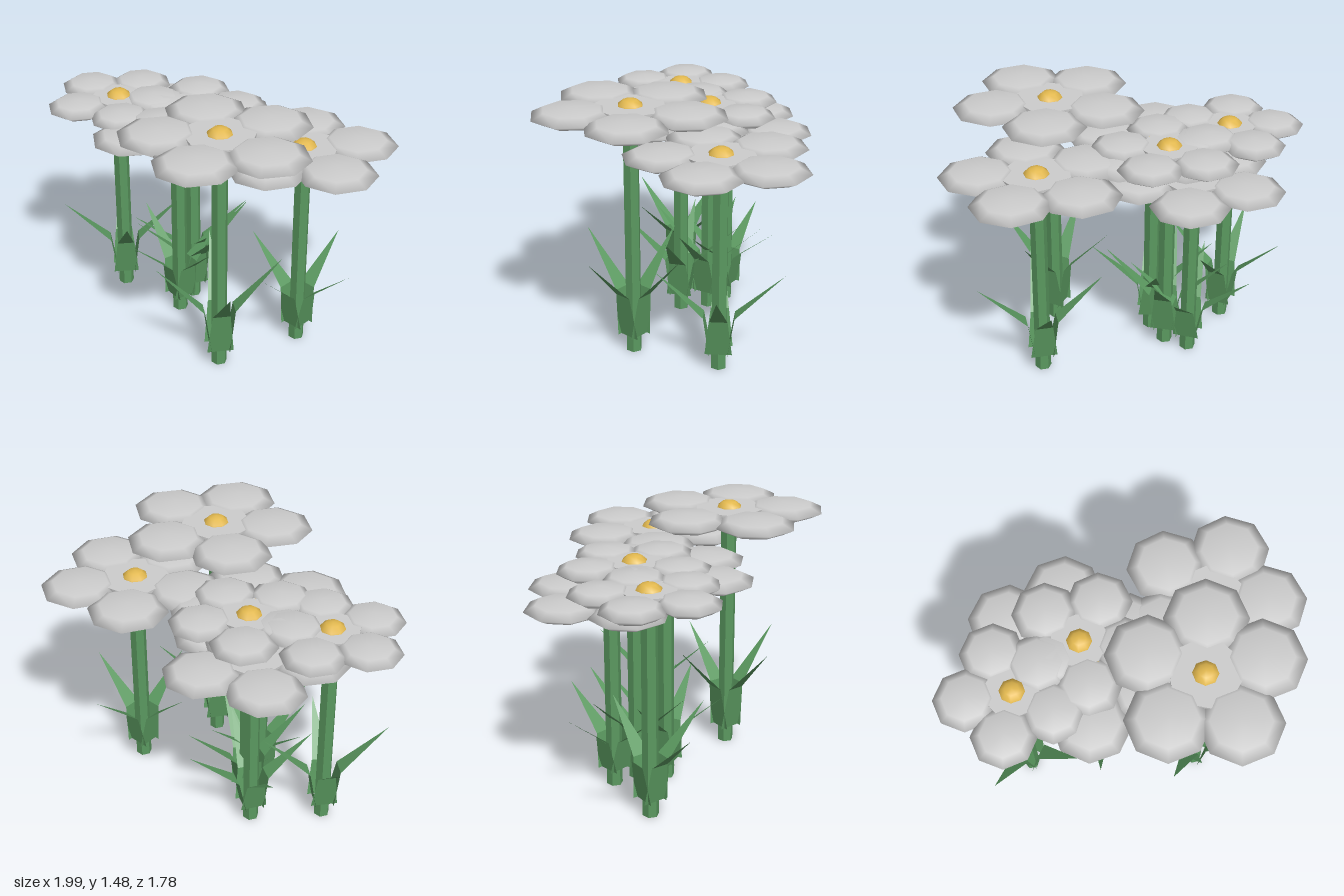
import * as THREE from 'three';

const petalMat = new THREE.MeshStandardMaterial({ color: 0xcccccc });
petalMat.name = 'palePetal';
const centreMat = new THREE.MeshStandardMaterial({ color: 0xe2b84e });
centreMat.name = 'goldenCentre';
const greenMat = new THREE.MeshStandardMaterial({ color: 0x5a985f, side: THREE.DoubleSide });
greenMat.name = 'leafGreen';

const rad = THREE.MathUtils.degToRad;

// x, z, head height, head size, petal angle, petal facet angle, leaf angle
const FLOWERS = [
  [0.13, 0.36, 1.42, 1.0, 27, -2, 67],
  [0.51, 0.02, 1.225, 0.97, 46, -7, 30],
  [-0.62, -0.29, 1.25, 0.78, 69, -3, 69],
  [-0.18, -0.26, 1.255, 0.8, 49, -5, 55],
  [-0.23, -0.4, 1.11, 0.95, 31, 0, 60],
  [-0.22, -0.1, 1.22, 0.95, 63, 0, 40],
];

function add(parent, name, geometry, material) {
  const mesh = new THREE.Mesh(geometry, material);
  mesh.name = name;
  parent.add(mesh);
  return mesh;
}

// Bent blade pointing along +x: straight lower half, then a point leaning out
function leafGeometry(tipY) {
  const bendY = 0.1 + (tipY - 0.1) * 0.47;
  const g = new THREE.BufferGeometry();
  g.setAttribute('position', new THREE.Float32BufferAttribute([
    0.05, 0.1, 0.075, 0.05, 0.1, -0.075,
    0.085, bendY, 0.05, 0.085, bendY, -0.05,
    0.35, tipY, 0,
  ], 3));
  g.setIndex([0, 1, 2, 2, 1, 3, 2, 3, 4]);
  const flat = g.toNonIndexed();
  flat.computeVertexNormals();
  return flat;
}

function makeFlower([x, z, y, size, petalAngle, facetAngle, leafAngle]) {
  const flower = new THREE.Group();
  flower.name = 'flower';
  flower.position.set(x, 0, z);

  // Six-sided stem
  const stemGeo = new THREE.CylinderGeometry(0.045, 0.045, y - 0.03, 6).toNonIndexed();
  stemGeo.computeVertexNormals();
  add(flower, 'stem', stemGeo, greenMat).position.y = (y - 0.03) / 2;

  // Four leaves around the stem
  const leafGeo = leafGeometry(y * 0.46);
  for (let i = 0; i < 4; i++) {
    add(flower, 'leaf', leafGeo, greenMat).rotation.y = -rad(leafAngle + i * 90);
  }

  // Five flattened petals joined by a thin disc
  const petalGeo = new THREE.SphereGeometry(1, 8, 4);
  petalGeo.scale(0.225 * size, 0.046, 0.225 * size);
  for (let i = 0; i < 5; i++) {
    const a = rad(petalAngle + i * 72);
    const petal = add(flower, 'petal', petalGeo, petalMat);
    petal.position.set(Math.cos(a) * 0.31 * size, y, Math.sin(a) * 0.31 * size);
    petal.rotation.y = -rad(facetAngle);
  }
  add(flower, 'petalBase', new THREE.CylinderGeometry(0.19 * size, 0.19 * size, 0.05, 10), petalMat)
    .position.y = y;

  // Rounded centre showing above and below the petals
  const centre = add(flower, 'flowerCentre', new THREE.SphereGeometry(0.077, 8, 6), centreMat);
  centre.scale.y = 0.83;
  centre.position.y = y;
  return flower;
}

export function createModel() {
  const model = new THREE.Group();
  model.name = 'flowerPatch';
  for (const f of FLOWERS) model.add(makeFlower(f));
  return model;
}
